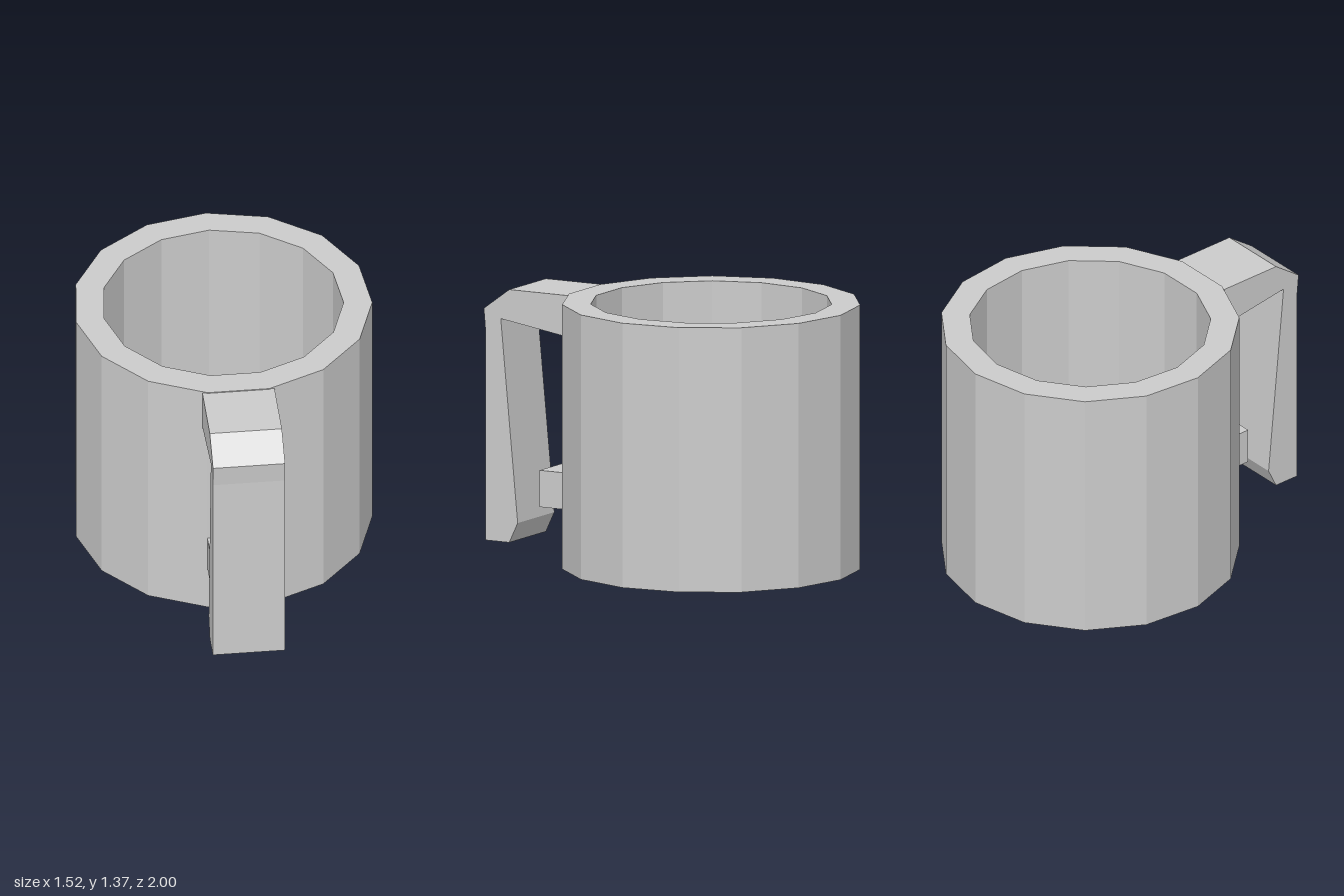
import * as THREE from 'three';

const SIDES = 15, OUTER = 0.764, INNER = 0.618, HEIGHT = 1.37, FLOOR = 0.15;
const CENTRE_Z = -0.236;

export function createModel() {
  const group = new THREE.Group();
  const material = new THREE.MeshStandardMaterial({ color: 0xcccccc, flatShading: true });

  const add = (name, geometry) => {
    const mesh = new THREE.Mesh(geometry, material);
    mesh.name = name;
    group.add(mesh);
    return mesh;
  };

  // Mug body: hollow faceted cup with thick walls, one corner pointing back
  const profile = [
    [0, 0], [OUTER, 0], [OUTER, HEIGHT], [INNER, HEIGHT], [INNER, FLOOR], [0, FLOOR],
  ].map(([r, y]) => new THREE.Vector2(r, y));
  add('mugBody', new THREE.LatheGeometry(profile, SIDES, Math.PI)).position.z = CENTRE_Z;

  // Handle: hooked side profile (z, y) extruded across the width
  const width = 0.37;
  const hook = new THREE.Shape([
    [0.505, 1.365], [0.505, 1.15], [0.9, 1.21], [0.8, 0.16], [0.85, 0.055],
    [0.99, 0.055], [0.99, 1.14], [1, 1.255], [0.85, 1.365],
  ].map(([z, y]) => new THREE.Vector2(z, y)));
  const handle = new THREE.ExtrudeGeometry(hook, { depth: width, bevelEnabled: false });
  handle.translate(0, 0, -width / 2).rotateY(-Math.PI / 2);
  add('handle', handle);

  // Small stub on the wall behind the handle's lower end
  add('handleStub', new THREE.BoxGeometry(0.32, 0.19, 0.175)).position.set(0, 0.345, 0.5975);

  return group;
}
